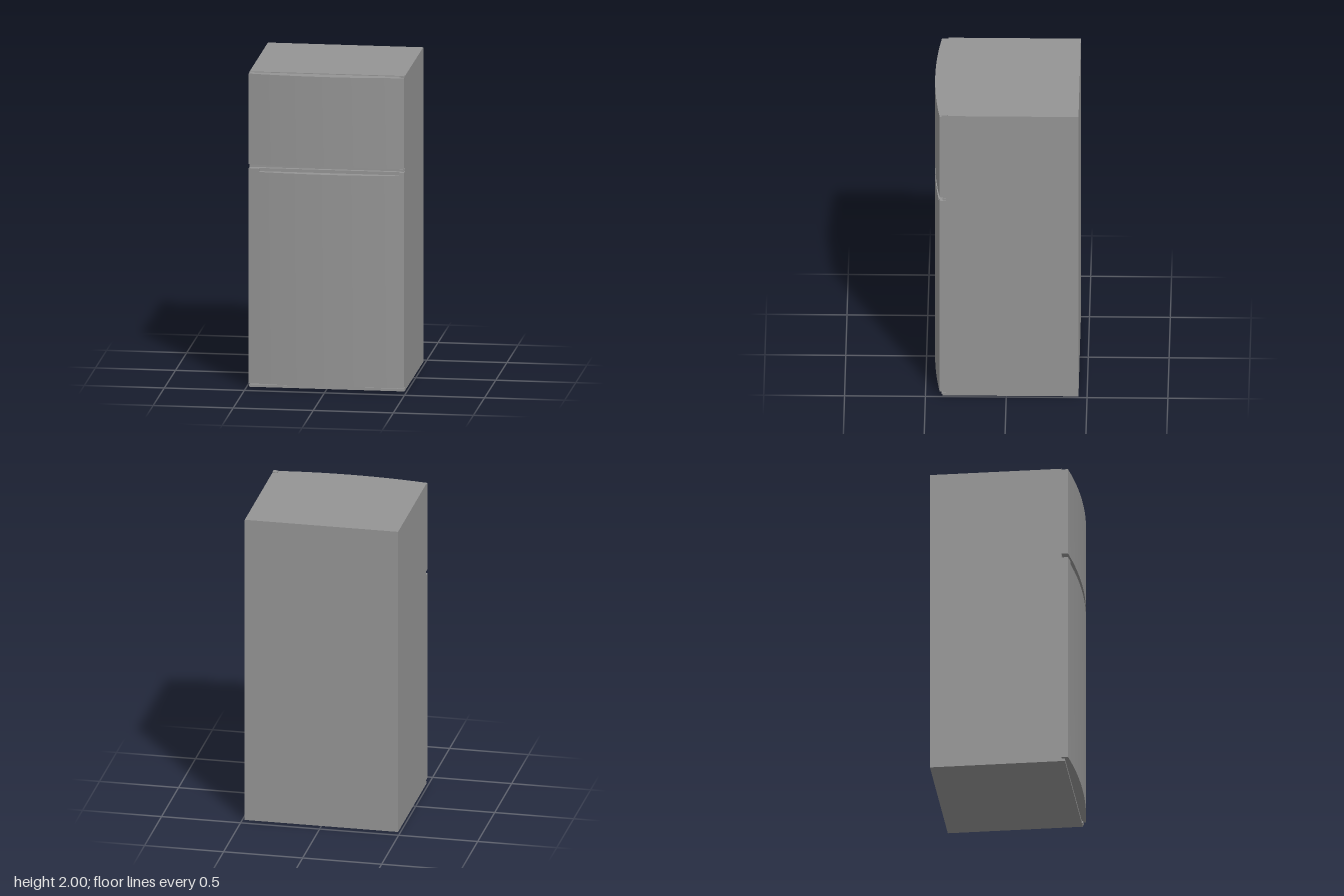
import * as THREE from 'three';
import { toCreasedNormals } from 'three/addons/utils/BufferGeometryUtils.js';

const HALF = 0.485;       // half width of the cabinet
const BACK = -0.447, FACE = 0.372; // cabinet depth range
const bowZ = (x) => 0.447 - 0.035 * (x / HALF) ** 2; // bowed door front

export function createModel() {
  const group = new THREE.Group();
  const material = new THREE.MeshStandardMaterial({ color: 0x949494 });

  const add = (name, geometry) => {
    const mesh = new THREE.Mesh(geometry, material);
    mesh.name = name;
    group.add(mesh);
  };

  const addBox = (name, x0, x1, y0, y1, z0, z1) => {
    const geometry = new THREE.BoxGeometry(x1 - x0, y1 - y0, z1 - z0);
    geometry.translate((x0 + x1) / 2, (y0 + y1) / 2, (z0 + z1) / 2);
    add(name, geometry);
  };

  // Door slab: plan outline with a bowed front, extruded between two heights.
  // An optional recess [x0, x1, z] cuts the front back to a straight wall.
  const addDoor = (name, y0, y1, recess) => {
    const shape = new THREE.Shape();
    shape.moveTo(-HALF, FACE);
    shape.lineTo(HALF, FACE);
    const bow = (from, to) => {
      const steps = Math.max(2, Math.round((from - to) * 24));
      for (let i = 0; i <= steps; i++) {
        const x = from + ((to - from) * i) / steps;
        shape.lineTo(x, bowZ(x));
      }
    };
    if (recess) {
      const [x0, x1, z] = recess;
      bow(HALF, x1);
      shape.lineTo(x1, z);
      shape.lineTo(x0, z);
      bow(x0, -HALF);
    } else {
      bow(HALF, -HALF);
    }
    shape.closePath();
    const geometry = new THREE.ExtrudeGeometry(shape, { depth: y1 - y0, bevelEnabled: false });
    geometry.rotateX(Math.PI / 2).translate(0, y1, 0);
    add(name, toCreasedNormals(geometry, 0.4));
  };

  // Cabinet with a straight kick plate under the lower door
  addBox('cabinet', -HALF, HALF, 0, 1.995, BACK, FACE);
  addBox('kickPlate', -HALF, HALF, 0, 0.016, FACE, 0.393);

  // Doors; the lower one has a grip recess along its top edge
  addDoor('freezerDoor', 1.415, 1.99);
  addDoor('fridgeDoor', 0.027, 1.37);
  addDoor('fridgeDoorGripRim', 1.37, 1.39, [-0.42, 0.455, 0.397]);

  // Hinges on the left side: top plate, middle bracket and bottom bracket
  addBox('topHinge', 0.455, HALF, 1.99, 2, 0.365, 0.4);
  addBox('middleHingePlate', 0.455, HALF, 1.396, 1.408, 0.365, 0.395);
  addBox('middleHingePin', 0.465, 0.48, 1.39, 1.415, FACE, 0.39);
  addBox('bottomHingePlate', 0.445, HALF, 0.008, 0.02, 0.365, 0.4);
  addBox('bottomHingePin', 0.465, 0.48, 0.015, 0.027, FACE, 0.39);

  return group;
}
